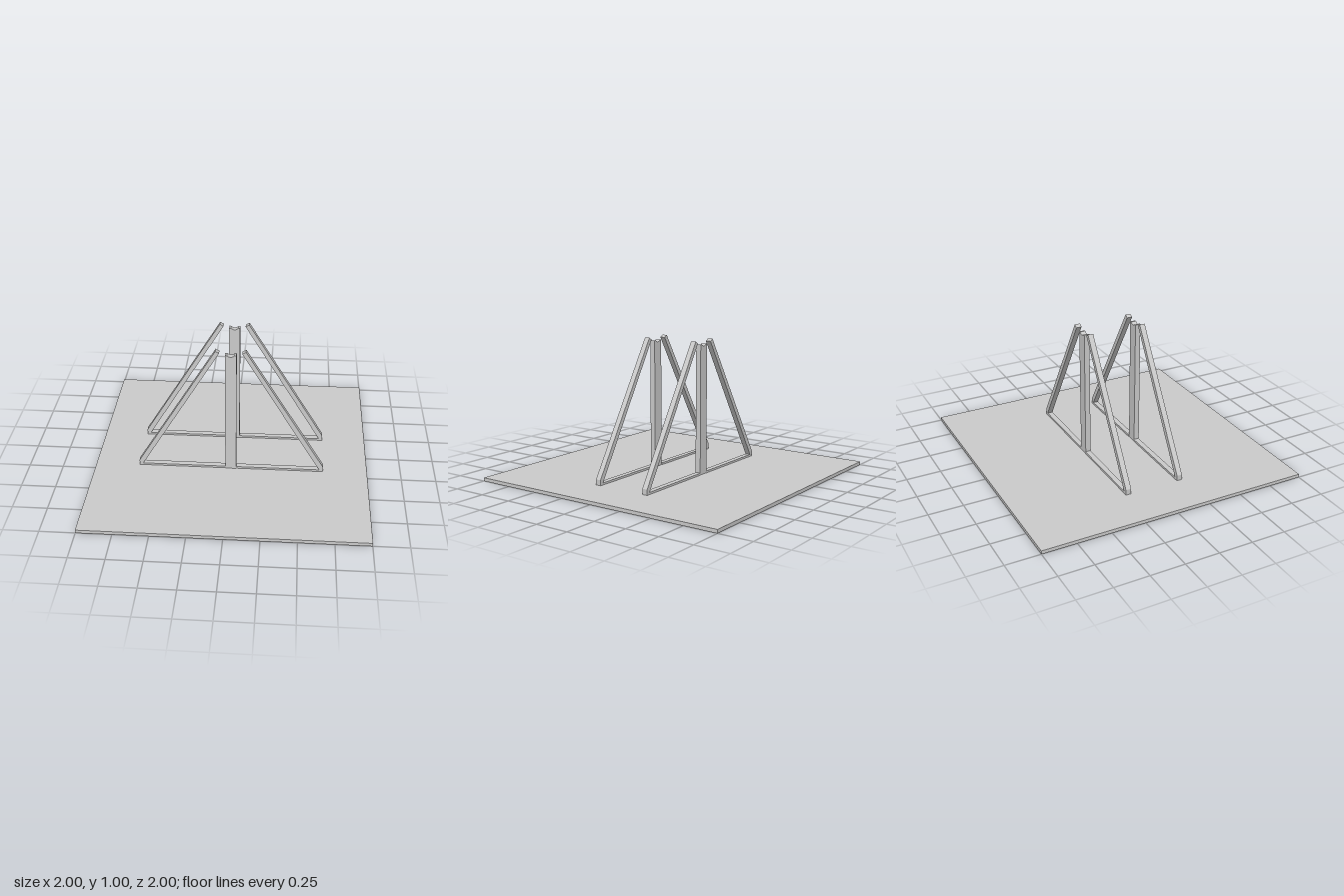
import * as THREE from 'three';

const material = new THREE.MeshStandardMaterial({ color: 0xcccccc, flatShading: true });

// Flat outline in x/y given a thickness along z, centred on z = 0
function plate(name, points, depth, z) {
  const shape = new THREE.Shape(points.map(([x, y]) => new THREE.Vector2(x, y)));
  const geometry = new THREE.ExtrudeGeometry(shape, { depth, bevelEnabled: false });
  geometry.translate(0, 0, z - depth / 2);
  const mesh = new THREE.Mesh(geometry, material);
  mesh.name = name;
  return mesh;
}

const BASE = 0.025;

function createSupport(name) {
  const group = new THREE.Group();
  group.name = name;

  // Slanted braces with mitred feet and square-cut upper ends
  const brace = [[-0.65, 0.04], [-0.08, 0.988], [-0.106, 1.004], [-0.677, 0.065], [-0.677, BASE], [-0.65, BASE]];
  group.add(plate('rightBrace', brace, 0.04, 0));
  group.add(plate('leftBrace', brace.map(([x, y]) => [-x, y]).reverse(), 0.04, 0));

  // Thin sill on either side of the post
  for (const s of [-1, 1]) {
    const sill = new THREE.Mesh(new THREE.BoxGeometry(0.61, 0.04 - BASE, 0.04), material);
    sill.name = s < 0 ? 'rightSill' : 'leftSill';
    sill.position.set(s * 0.345, (0.04 + BASE) / 2, 0);
    group.add(sill);
  }

  // Post with a shallow rounded cradle in its top
  const post = [[-0.04, BASE], [0.04, BASE], [0.04, 0.975], [0.027, 0.975]];
  for (let i = 1; i <= 7; i++) {
    const t = 1 - i / 4;
    post.push([0.027 * t, 0.963 + 0.012 * t * t]);
  }
  post.push([-0.027, 0.975], [-0.04, 0.975]);
  group.add(plate('post', post, 0.04, 0.003));
  return group;
}

export function createModel() {
  const model = new THREE.Group();
  model.name = 'supportStand';

  // Square base plate
  const base = new THREE.Mesh(new THREE.BoxGeometry(2, BASE, 2), material);
  base.name = 'basePlate';
  base.position.y = BASE / 2;
  model.add(base);

  // Two parallel supports
  const front = createSupport('frontSupport');
  front.position.z = 0.2;
  const back = createSupport('backSupport');
  back.position.z = -0.207;
  model.add(front, back);
  return model;
}
